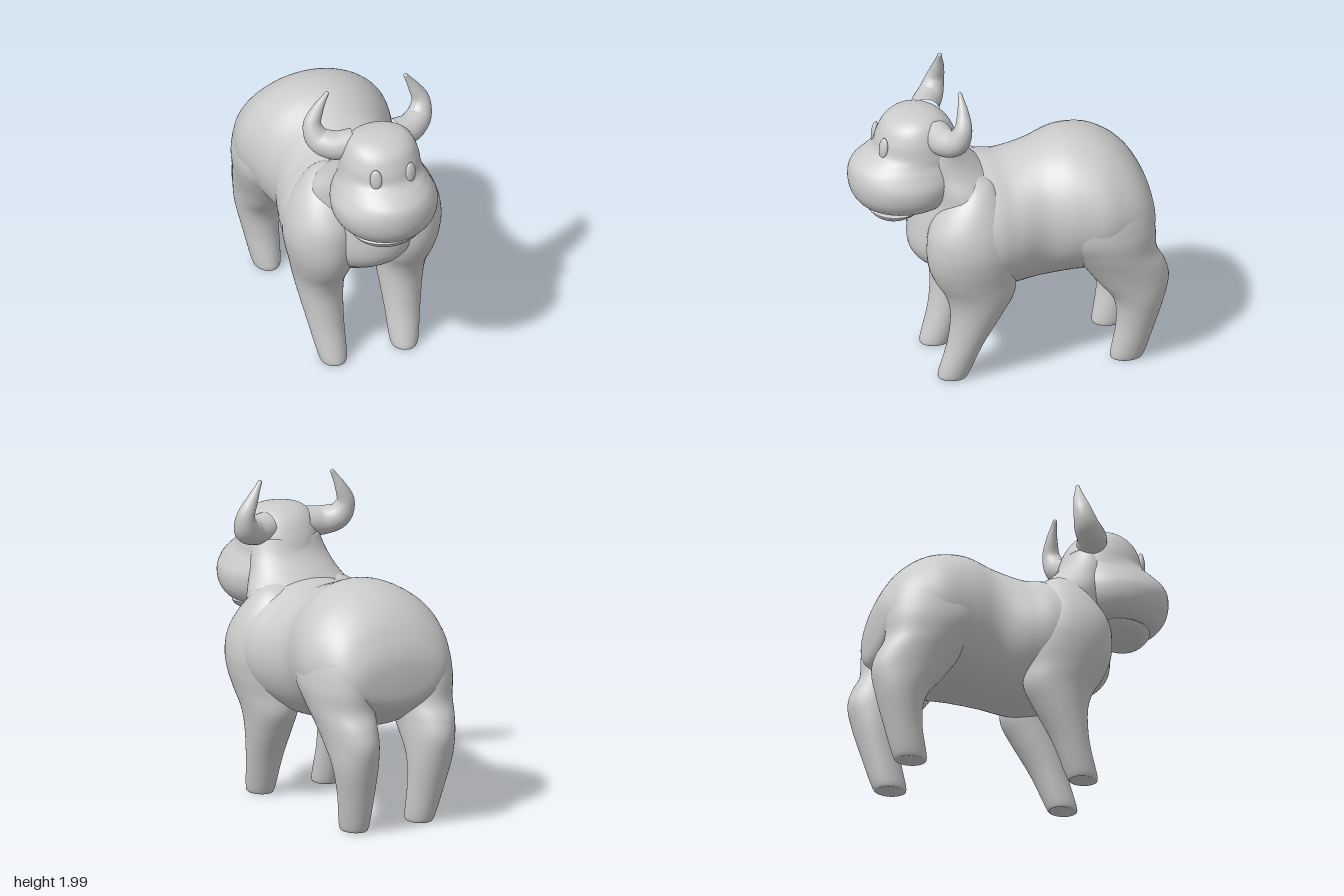
import * as THREE from 'three';

const material = new THREE.MeshStandardMaterial({ color: 0xcccccc });

// Smooth skin over elliptical sections [height, u0, u1, v0, v1].
// Axis 'y': u = x, v = z, listed upward. Axis 'z': u = x, v = y, listed front to back.
function loft(sections, axis = 'y', sides = 48, steps = 7) {
  const at = (i) => sections[Math.max(0, Math.min(sections.length - 1, i))];
  const rings = (sections.length - 1) * steps + 1;
  const positions = [], index = [];
  const add = (u, h, v) => (axis === 'y' ? positions.push(u, h, v) : positions.push(u, v, h));
  const centres = [];
  for (let r = 0; r < rings; r++) {
    const i = Math.min(Math.floor(r / steps), sections.length - 2);
    const t = r / steps - i;
    const [h, u0, u1, v0, v1] = at(i).map((b, k) => {
      const a = at(i - 1)[k], c = at(i + 1)[k], d = at(i + 2)[k];
      return b + 0.5 * t * (c - a + t * (2 * a - 5 * b + 4 * c - d + t * (3 * (b - c) + d - a)));
    });
    centres.push([(u0 + u1) / 2, h, (v0 + v1) / 2]);
    for (let j = 0; j < sides; j++) {
      const a = (j / sides) * Math.PI * 2;
      add((u0 + u1) / 2 + Math.cos(a) * (u1 - u0) / 2, h, (v0 + v1) / 2 + Math.sin(a) * (v1 - v0) / 2);
    }
  }
  for (let r = 0; r < rings - 1; r++) {
    for (let j = 0; j < sides; j++) {
      const a = r * sides + j, b = r * sides + (j + 1) % sides;
      index.push(a, a + sides, b, b, a + sides, b + sides);
    }
  }
  // End caps
  const first = rings * sides, last = (rings - 1) * sides;
  add(...centres[0]);
  add(...centres[rings - 1]);
  for (let j = 0; j < sides; j++) {
    const k = (j + 1) % sides;
    index.push(first, j, k, first + 1, last + k, last + j);
  }
  const geometry = new THREE.BufferGeometry();
  geometry.setAttribute('position', new THREE.Float32BufferAttribute(positions, 3));
  geometry.setIndex(index);
  geometry.computeVertexNormals();
  return geometry;
}

// Section symmetric about x = 0
const wide = ([h, halfWidth, v0, v1]) => [h, -halfWidth, halfWidth, v0, v1];
const mirrored = ([h, u0, u1, v0, v1]) => [h, -u1, -u0, v0, v1];

// Tube whose radius follows a list along its path
function taperedTube(points, radii) {
  const curve = new THREE.CatmullRomCurve3(points.map((p) => new THREE.Vector3(...p)));
  const rows = 40, sides = 28;
  const geometry = new THREE.TubeGeometry(curve, rows, 1, sides);
  const radiusCurve = new THREE.SplineCurve(radii.map((r, i) => new THREE.Vector2(i, r)));
  const pos = geometry.attributes.position, v = new THREE.Vector3();
  for (let i = 0; i < pos.count; i++) {
    const u = Math.floor(i / (sides + 1)) / rows;
    const centre = curve.getPointAt(u);
    const radius = radiusCurve.getPoint(curve.getUtoTmapping(u)).y;
    v.fromBufferAttribute(pos, i).sub(centre).multiplyScalar(radius).add(centre);
    pos.setXYZ(i, v.x, v.y, v.z);
  }
  geometry.computeVertexNormals();
  return geometry;
}

const TORSO = [
  [0.56, 0.03, 0.9, 0.98], [0.54, 0.18, 0.8, 1.1], [0.45, 0.35, 0.69, 1.24], [0.3, 0.46, 0.6, 1.36],
  [0.14, 0.485, 0.56, 1.38], [0, 0.455, 0.55, 1.38], [-0.18, 0.412, 0.565, 1.44], [-0.36, 0.46, 0.59, 1.498],
  [-0.54, 0.497, 0.605, 1.483], [-0.68, 0.47, 0.64, 1.42], [-0.79, 0.42, 0.71, 1.32], [-0.865, 0.35, 0.77, 1.2],
  [-0.9, 0.26, 0.83, 1.1], [-0.91, 0.06, 0.93, 1.0],
];
const NECK = [
  [0.6, 0.12, 0.05, 0.3], [0.72, 0.25, 0, 0.5], [0.8, 0.3, 0, 0.585], [0.9, 0.34, 0, 0.605],
  [1.05, 0.36, 0, 0.58], [1.2, 0.365, 0, 0.545], [1.3, 0.34, 0.08, 0.55], [1.4, 0.285, 0.18, 0.58],
  [1.5, 0.25, 0.27, 0.6], [1.6, 0.22, 0.315, 0.6],
];
const HEAD = [
  [1.155, 0.15, 0.5, 0.83], [1.16, 0.22, 0.42, 0.88], [1.19, 0.275, 0.35, 0.925], [1.26, 0.32, 0.3, 0.968],
  [1.35, 0.33, 0.28, 0.982], [1.43, 0.298, 0.27, 0.965], [1.49, 0.267, 0.28, 0.9], [1.54, 0.255, 0.29, 0.832],
  [1.62, 0.243, 0.315, 0.805], [1.7, 0.213, 0.36, 0.765], [1.75, 0.165, 0.42, 0.7], [1.775, 0.085, 0.49, 0.63],
  [1.781, 0.01, 0.55, 0.57],
];
const JAW = [
  [-0.08, 0.03, 0.09, 0.15], [-0.073, 0.11, 0.03, 0.205], [-0.045, 0.185, -0.03, 0.24],
  [-0.01, 0.225, -0.09, 0.265], [0, 0.22, -0.1, 0.26],
];
const FRONT_LEG = [
  [0.01, 0.175, 0.295, 0.3, 0.45], [0.03, 0.15, 0.322, 0.28, 0.472], [0.25, 0.14, 0.367, 0.185, 0.415],
  [0.45, 0.125, 0.405, 0.07, 0.4], [0.58, 0.11, 0.43, 0, 0.43], [0.7, 0.08, 0.46, -0.01, 0.5],
  [0.81, 0.06, 0.488, -0.02, 0.54], [0.93, 0.05, 0.503, -0.02, 0.55], [1.06, 0.05, 0.485, 0, 0.53],
  [1.2, 0.05, 0.425, 0.05, 0.45], [1.32, 0.08, 0.33, 0.12, 0.34], [1.37, 0.18, 0.22, 0.22, 0.26],
];
const HIND_LEG = [
  [0.01, 0.175, 0.295, -0.8, -0.645], [0.03, 0.15, 0.322, -0.832, -0.62], [0.25, 0.14, 0.367, -0.9, -0.655],
  [0.43, 0.13, 0.405, -0.952, -0.635], [0.57, 0.12, 0.425, -0.98, -0.53], [0.68, 0.11, 0.447, -0.955, -0.45],
  [0.79, 0.09, 0.473, -0.9, -0.37], [0.93, 0.08, 0.495, -0.89, -0.27], [1.1, 0.07, 0.475, -0.86, -0.25],
  [1.24, 0.08, 0.41, -0.78, -0.29], [1.36, 0.18, 0.24, -0.6, -0.48],
];
const HORN_PATH = [
  [0.14, 1.66, 0.46], [0.25, 1.655, 0.435], [0.333, 1.69, 0.38], [0.36, 1.78, 0.345], [0.32, 1.88, 0.335], [0.262, 1.985, 0.34],
];
const HORN_RADII = [0.092, 0.09, 0.08, 0.058, 0.037, 0.014];

export function createModel() {
  const model = new THREE.Group();
  model.name = 'bull';
  const part = (name, geometry, parent = model) => {
    const mesh = new THREE.Mesh(geometry, material);
    mesh.name = name;
    parent.add(mesh);
    return mesh;
  };

  // Trunk
  part('torso', loft(TORSO.map(wide), 'z', 64));
  part('neckAndChest', loft(NECK.map(wide)));

  // Head with a slightly open mouth
  const head = new THREE.Group();
  head.name = 'head';
  model.add(head);
  part('skull', loft(HEAD.map(wide), 'y', 64), head);
  const jaw = part('lowerJaw', loft(JAW.map(wide)), head);
  jaw.position.set(0, 1.158, 0.6);
  jaw.rotation.x = 0.07;

  for (const side of [1, -1]) {
    const label = side > 0 ? 'left' : 'right';
    const legSections = (list) => (side > 0 ? list : list.map(mirrored));
    part(label + 'FrontLeg', loft(legSections(FRONT_LEG)));
    part(label + 'HindLeg', loft(legSections(HIND_LEG)));

    // Horn with rounded tip
    const path = HORN_PATH.map(([x, y, z]) => [x * side, y, z]);
    part(label + 'Horn', taperedTube(path, HORN_RADII), head);
    const tip = part(label + 'HornTip', new THREE.SphereGeometry(0.0142, 20, 12), head);
    tip.position.set(...path[path.length - 1]);

    // Eye: upright oval hugging the face
    const eye = part(label + 'Eye', new THREE.SphereGeometry(1, 28, 20), head);
    eye.scale.set(0.038, 0.068, 0.02);
    eye.position.set(0.115 * side, 1.588, 0.79);
    eye.rotation.set(-0.12, 0.38 * side, 0);
  }
  return model;
}
